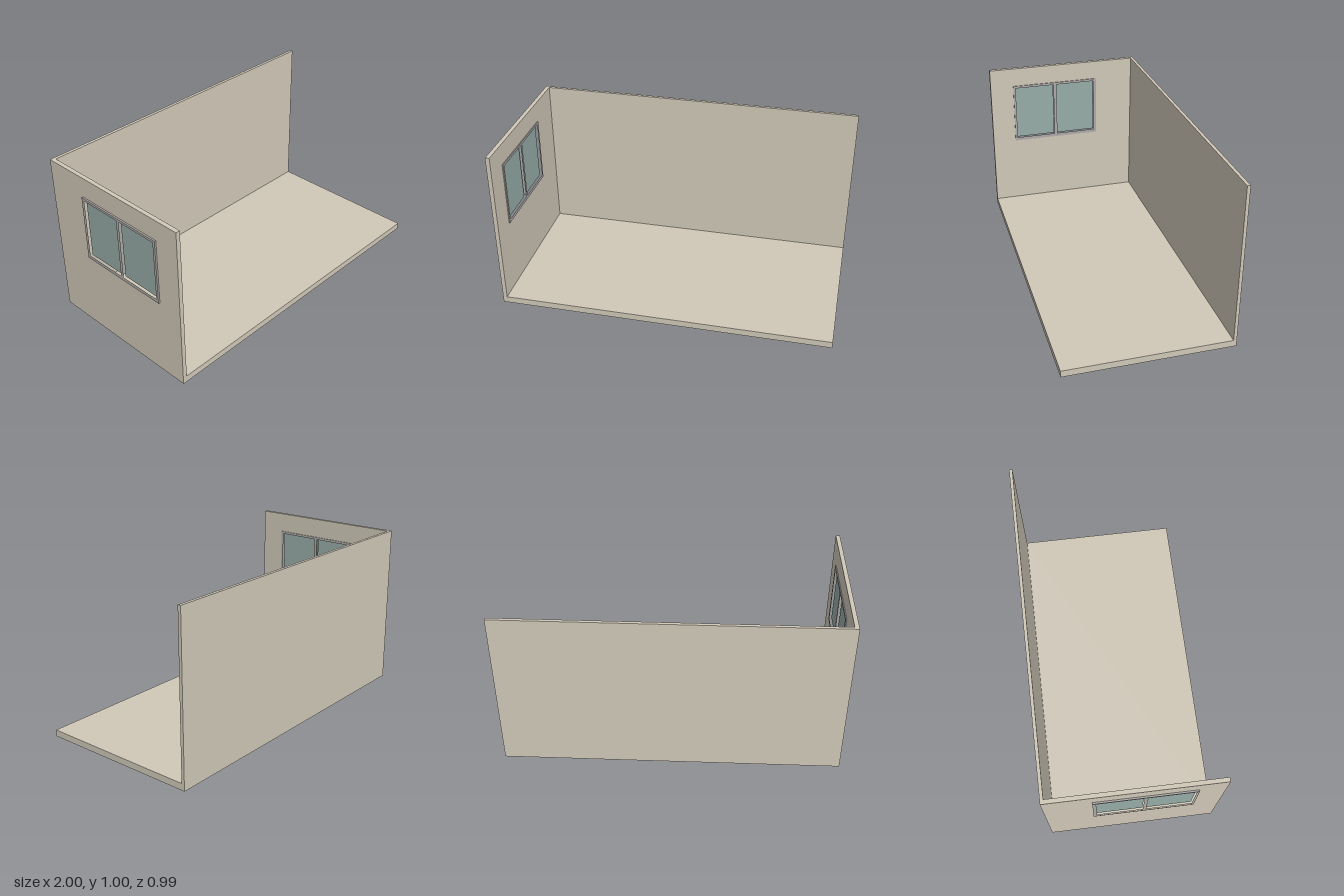
import * as THREE from 'three';

const wallMat = new THREE.MeshStandardMaterial({ color: 0xd0c8b8 });
const frameMat = new THREE.MeshStandardMaterial({ color: 0xaeaaa8 });
const glassMat = new THREE.MeshStandardMaterial({ color: 0x97aca7 });

// Box given by its minimum and maximum corners
function box(name, material, [x0, y0, z0], [x1, y1, z1]) {
  const mesh = new THREE.Mesh(new THREE.BoxGeometry(x1 - x0, y1 - y0, z1 - z0), material);
  mesh.position.set((x0 + x1) / 2, (y0 + y1) / 2, (z0 + z1) / 2);
  mesh.name = name;
  return mesh;
}

// Rectangle in the z-y plane
function rect(Type, [z0, z1, y0, y1]) {
  return new Type([[z0, y0], [z1, y0], [z1, y1], [z0, y1]].map(([z, y]) => new THREE.Vector2(-z, y)));
}

// Upright panel facing x, with rectangular openings
function panel(name, material, x0, x1, outline, openings) {
  const shape = rect(THREE.Shape, outline);
  shape.holes = openings.map((o) => rect(THREE.Path, o));
  const geometry = new THREE.ExtrudeGeometry(shape, { depth: x1 - x0, bevelEnabled: false });
  geometry.rotateY(Math.PI / 2).translate(x0, 0, 0);
  const mesh = new THREE.Mesh(geometry, material);
  mesh.name = name;
  return mesh;
}

export function createModel() {
  const room = new THREE.Group();
  room.name = 'openRoom';
  const left = -0.99, inner = -0.965, back = -0.497, front = 0.497, top = 0.997;
  const windowRect = [-0.23, 0.345, 0.478, 0.875];
  const panes = [[-0.21, 0.05, 0.5, 0.86], [0.07, 0.33, 0.5, 0.86]];

  // Floor slab and the two walls
  room.add(box('floor', wallMat, [inner, 0, -0.478], [1, 0.04, front]));
  room.add(box('backWall', wallMat, [left, 0, back], [1, top, -0.478]));
  room.add(panel('sideWall', wallMat, left, inner, [-0.478, front, 0, top], [windowRect]));

  // Window: one frame with two openings, glass set back inside it
  const win = new THREE.Group();
  win.name = 'window';
  win.add(panel('windowFrame', frameMat, -1, -0.959, windowRect, panes));
  panes.forEach(([z0, z1, y0, y1]) => {
    win.add(box('windowPane', glassMat, [-0.985, y0, z0], [-0.974, y1, z1]));
  });
  room.add(win);
  return room;
}
